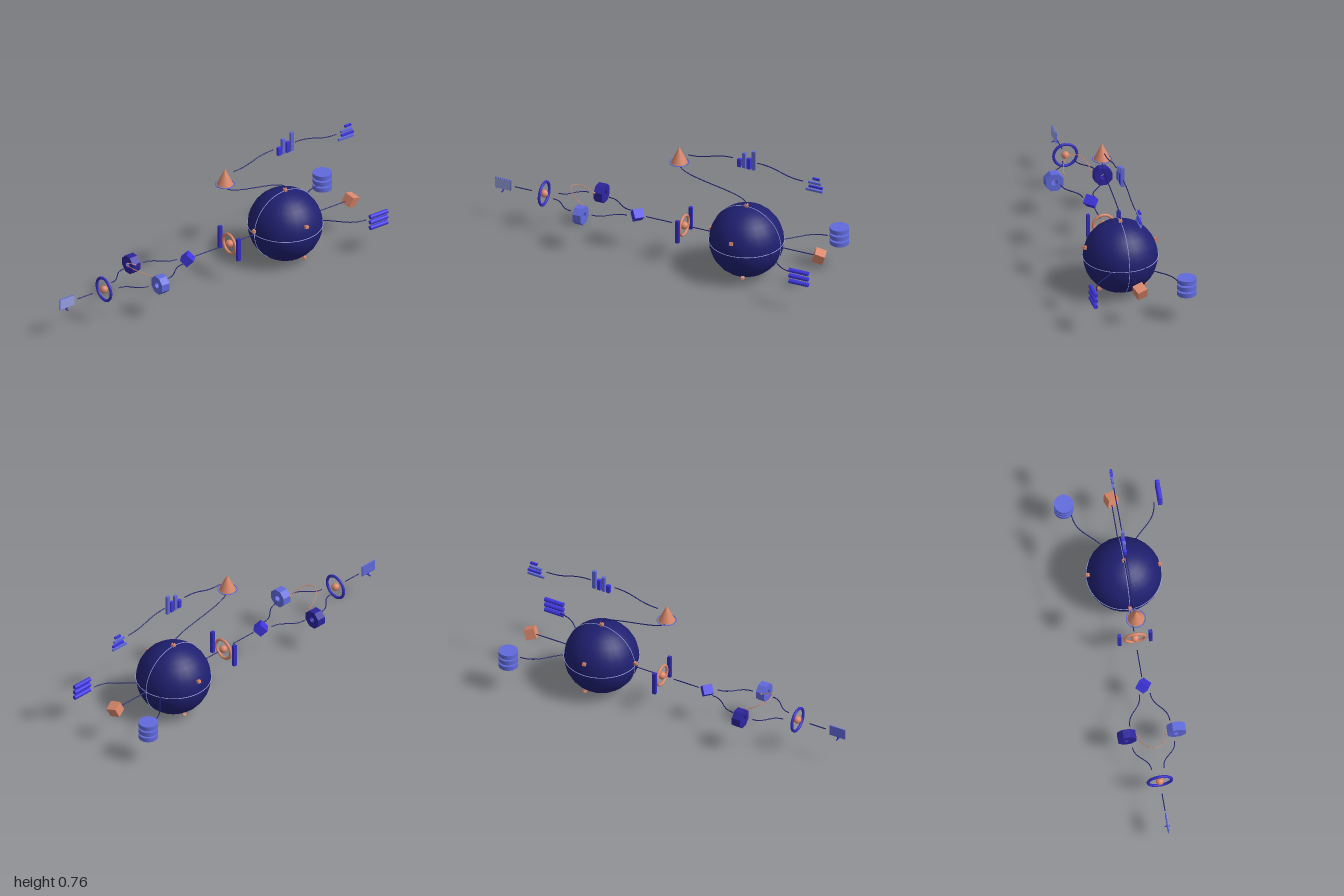
import * as THREE from 'three';

const Z = 0.02, Y = 0.208; // main axis of the chain

function mat(name, color) {
  const m = new THREE.MeshStandardMaterial({ color });
  m.name = name;
  return m;
}

export function createModel() {
  const navy = mat('navy', 0x1f1f70);
  const royal = mat('royalBlue', 0x3f36e2);
  const deep = mat('deepBlue', 0x352fc0);
  const indigo = mat('indigo', 0x2d249c);
  const light = mat('lightBlue', 0x606adc);
  const pale = mat('paleLavender', 0x99a1e4);
  const coral = mat('coral', 0xd9876a);

  const model = new THREE.Group();
  const V = (x, y, z) => new THREE.Vector3(x, y, z);

  function add(name, geo, material, x = 0, y = 0, z = 0, parent = model) {
    const m = new THREE.Mesh(geo, material);
    m.name = name;
    m.position.set(x, y, z);
    parent.add(m);
    return m;
  }
  const box = (name, w, h, d, material, x, y, z, parent) =>
    add(name, new THREE.BoxGeometry(w, h, d), material, x, y, z, parent);
  const ball = (name, r, material, x, y, z) =>
    add(name, new THREE.SphereGeometry(r, 20, 14), material, x, y, z);
  function tube(name, curve, r = 0.0028, material = navy) {
    return add(name, new THREE.TubeGeometry(curve, 28, r, 8), material);
  }
  // S-curve that leaves and arrives along x
  function sCurve(name, a, b) {
    const mid = (a.x + b.x) / 2;
    return tube(name, new THREE.CubicBezierCurve3(a, V(mid, a.y, a.z), V(mid, b.y, b.z), b));
  }
  // ring facing along x
  function ringX(name, R, t, material, x) {
    add(name, new THREE.TorusGeometry(R, t, 10, 40), material, x, Y, Z).rotation.y = Math.PI / 2;
  }

  // Screen with a pale front face, on a small stand
  box('screen', 0.097, 0.063, 0.006, light, -0.951, 0.211, Z);
  box('screenFace', 0.093, 0.059, 0.002, pale, -0.951, 0.211, Z + 0.0035);
  box('screenPost', 0.004, 0.018, 0.004, deep, -0.953, 0.173, Z);
  box('screenFoot', 0.006, 0.004, 0.028, deep, -0.953, 0.165, Z);

  // Straight links along the main axis
  for (const [a, b] of [[-0.88, -0.78], [-0.095, 0.06], [0.17, 0.31], [0.70, 0.91]]) {
    add('link', new THREE.CylinderGeometry(0.0028, 0.0028, b - a, 8), navy, (a + b) / 2, Y, Z)
      .rotation.z = Math.PI / 2;
  }

  // Ring with a core
  ringX('focusRing', 0.065, 0.008, deep, -0.705);
  ball('focusCore', 0.022, coral, -0.705, Y, Z);

  // Pair of octagonal nuts with branching links
  for (const s of [-1, 1]) {
    const nut = new THREE.Shape();
    for (let i = 0; i < 8; i++) {
      const a = (i + 0.5) * Math.PI / 4;
      const p = [Math.cos(a) * 0.054, Math.sin(a) * 0.054];
      i ? nut.lineTo(...p) : nut.moveTo(...p);
    }
    nut.closePath();
    const hole = new THREE.Path();
    hole.absarc(0, 0, 0.018, 0, Math.PI * 2, true);
    nut.holes.push(hole);
    const geo = new THREE.ExtrudeGeometry(nut, { depth: 0.05, bevelEnabled: false, curveSegments: 10 });
    geo.translate(0, 0, -0.025);
    geo.rotateY(Math.PI / 2);
    add(s > 0 ? 'frontNut' : 'backNut', geo, s > 0 ? light : indigo, -0.425, Y + 0.002, Z + s * 0.136);
    sCurve('branchIn', V(-0.635, Y, Z + s * 0.034), V(-0.49, Y, Z + s * 0.115));
    sCurve('branchOut', V(-0.37, Y, Z + s * 0.11), V(-0.195, Y, Z + s * 0.03));
    ball('arcEnd', 0.005, coral, -0.44, 0.235, Z + s * 0.075);
  }
  // Tilted arc joining the nuts
  tube('nutArc', new THREE.CubicBezierCurve3(
    V(-0.44, 0.235, Z - 0.075), V(-0.573, 0.315, Z - 0.07),
    V(-0.573, 0.315, Z + 0.07), V(-0.44, 0.235, Z + 0.075)), 0.002, coral);

  // Tilted cube
  box('mergeCube', 0.054, 0.054, 0.054, royal, -0.147, Y, Z)
    .rotation.set(Math.PI / 4, Math.PI / 4, 0, 'YXZ');

  // Gate: two posts with a ring and a core between them
  for (const s of [-1, 1]) box('gatePost', 0.02, 0.135, 0.018, deep, 0.132, 0.211, Z + s * 0.086);
  ringX('gateRing', 0.056, 0.008, coral, 0.132);
  ball('gateCore', 0.022, coral, 0.132, Y, Z);

  // Main sphere with thin pale bands
  const hub = new THREE.Group();
  hub.name = 'hub';
  hub.position.set(0.505, Y, Z);
  model.add(hub);
  add('hubSphere', new THREE.SphereGeometry(0.2045, 24, 16), navy, 0, 0, 0, hub);
  const band = new THREE.TorusGeometry(0.2055, 0.0019, 8, 96);
  add('verticalBand', band, pale, 0, 0, 0, hub);
  add('equatorBand', band, pale, 0, 0, 0, hub).rotation.x = Math.PI / 2;

  // Ports sticking out of the sphere
  [[0, 1, 0], [-1, 0.1, 0], [0, 0.34, 0.94], [0, 0.34, -0.94],
    [0.165, -0.79, 0.59], [0.165, -0.79, -0.59]].forEach((d) => {
    const port = new THREE.Group();
    port.name = 'port';
    const dir = V(...d).normalize();
    port.quaternion.setFromUnitVectors(V(0, 1, 0), dir);
    port.position.copy(dir).multiplyScalar(0.205);
    box('portBody', 0.018, 0.018, 0.018, coral, 0, 0.003, 0, port);
    box('portCap', 0.016, 0.003, 0.016, coral, 0, 0.0155, 0, port);
    hub.add(port);
  });

  // Output curves from the sphere
  for (const s of [-1, 1]) {
    tube('outputCurve', new THREE.CubicBezierCurve3(
      V(0.68, Y, Z + s * 0.085), V(0.77, Y, Z + s * 0.155),
      V(0.78, Y, Z + s * 0.218), V(0.885, Y, Z + s * 0.226)));
  }

  // Stack of discs, rods and tilted block at the outputs
  for (let i = -1; i <= 1; i++) {
    add('disc', new THREE.CylinderGeometry(0.053, 0.053, 0.025, 32), light, 0.94, Y + i * 0.037, -0.24);
    add('rod', new THREE.CylinderGeometry(0.0125, 0.0125, 0.115, 16), royal, 0.94, Y + i * 0.034, 0.282)
      .rotation.z = Math.PI / 2;
  }
  box('outputBlock', 0.059, 0.059, 0.059, coral, 0.94, Y, Z).rotation.set(0.25, 0.25, -0.42);

  // Cone with a base ring, fed from the top port
  tube('coneFeed', new THREE.CubicBezierCurve3(
    V(0.505, 0.43, Z), V(0.5, 0.5, Z), V(0.11, 0.5, Z), V(0.103, 0.58, Z)));
  add('cone', new THREE.ConeGeometry(0.045, 0.095, 32), coral, 0.103, 0.642, Z);
  add('coneRing', new THREE.TorusGeometry(0.052, 0.0026, 8, 40), light, 0.103, 0.594, Z).rotation.x = Math.PI / 2;

  // Upper links
  sCurve('chartLink', V(0.157, 0.652, Z), V(0.425, 0.697, Z));
  sCurve('listLink', V(0.57, 0.697, Z), V(0.845, 0.651, Z));

  // Bar chart
  [0.048, 0.091, 0.064, 0.113].forEach((h, i) =>
    box('chartBar', 0.02, h, 0.017, i % 2 ? light : royal, 0.463 + i * 0.0285, 0.652 + h / 2, Z));

  // List of short rows
  [[0.902, 0.943, 0.681], [0.875, 0.95, 0.655], [0.88, 0.96, 0.631], [0.86, 0.96, 0.609]]
    .forEach(([a, b, y], i) =>
      box('listRow', b - a, 0.012, 0.012, i % 2 ? light : royal, (a + b) / 2, y, Z));

  return model;
}
